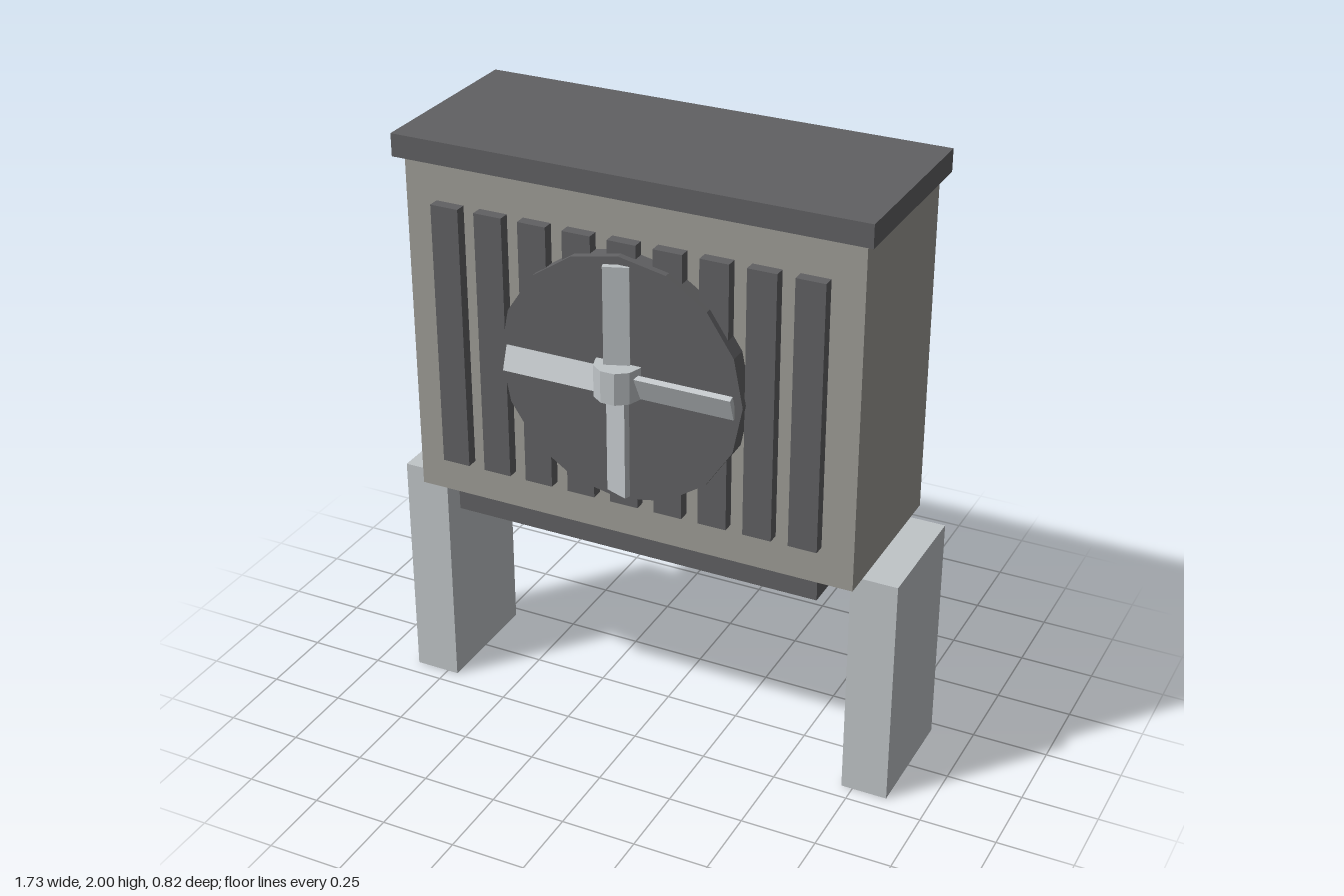
import * as THREE from 'three';

const mat = (name, color) => {
  const m = new THREE.MeshStandardMaterial({ color, flatShading: true });
  m.name = name;
  return m;
};

export function createModel() {
  const root = new THREE.Group();
  root.name = 'coolingUnit';
  const casing = mat('warm grey casing', 0x9e9c96);
  const dark = mat('dark grey trim', 0x616163);
  const metal = mat('light metal', 0xc0c5c8);

  const add = (name, geometry, material, x, y, z, parent = root) => {
    const mesh = new THREE.Mesh(geometry, material);
    mesh.name = name;
    mesh.position.set(x, y, z);
    parent.add(mesh);
    return mesh;
  };
  // box given by its lower and upper corners
  const block = (name, material, [x0, y0, z0], [x1, y1, z1]) =>
    add(name, new THREE.BoxGeometry(x1 - x0, y1 - y0, z1 - z0), material,
      (x0 + x1) / 2, (y0 + y1) / 2, (z0 + z1) / 2);

  // Cabinet, lid and drip tray
  block('cabinet', casing, [-0.75, 0.79, -0.295], [0.75, 1.926, 0.275]);
  block('lid', dark, [-0.777, 1.926, -0.323], [0.777, 2, 0.304]);
  block('dripTray', dark, [-0.628, 0.713, -0.274], [0.628, 0.79, 0.256]);

  // Legs
  for (const s of [-1, 1]) {
    add(s > 0 ? 'leftLeg' : 'rightLeg', new THREE.BoxGeometry(0.153, 0.789, 0.409), metal,
      s * 0.789, 0.3945, -0.009);
  }

  // Front grille slats
  for (let i = -4; i <= 4; i++) {
    const x = i * 0.1495;
    block('grilleSlat', dark, [x - 0.047, 0.917, 0.265], [x + 0.047, 1.797, 0.312]);
  }

  // Fan: disc, four pitched blades and an upright hub
  const fan = new THREE.Group();
  fan.name = 'fan';
  fan.position.set(0, 1.357, 0);
  root.add(fan);
  const discGeo = new THREE.CylinderGeometry(0.406, 0.406, 0.066, 16).rotateX(Math.PI / 2);
  add('fanDisc', discGeo, dark, 0, 0, 0.301, fan);
  for (let i = 0; i < 4; i++) {
    const blade = new THREE.BoxGeometry(0.08, 0.38, 0.02)
      .rotateY(0.35).translate(0, 0.19, 0).rotateZ(i * Math.PI / 2);
    add('fanBlade', blade, metal, 0, 0, 0.345, fan);
  }
  const hubGeo = new THREE.CylinderGeometry(0.075, 0.075, 0.105, 10).rotateY(Math.PI / 10);
  add('fanHub', hubGeo, metal, 0, 0.01, 0.339, fan);

  // Pipes on the back
  for (const x of [-0.471, -0.314]) {
    add('backPipe', new THREE.CylinderGeometry(0.07, 0.07, 0.79, 8), dark, x, 1.34, -0.341);
  }
  return root;
}
